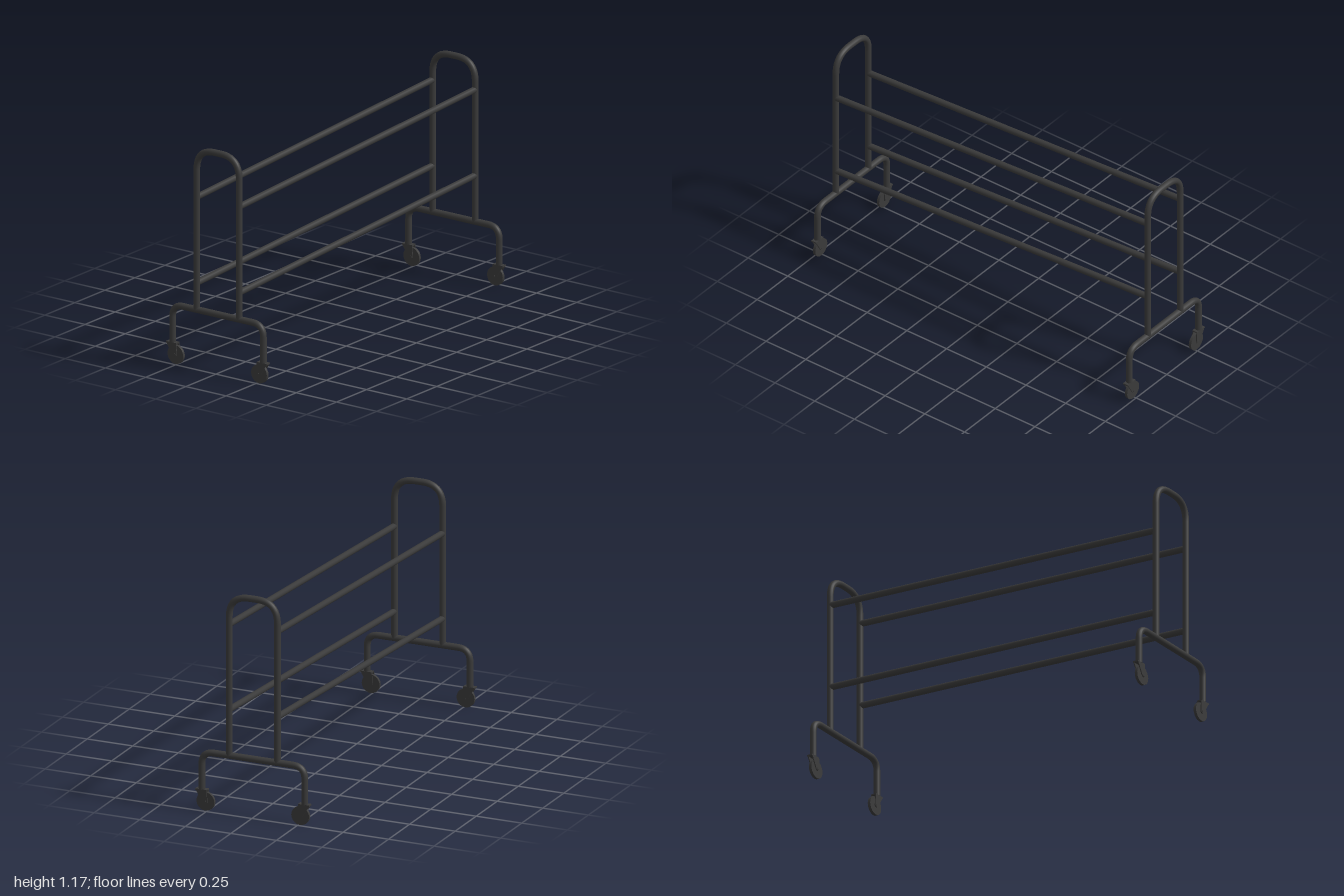
import * as THREE from 'three';

const R = 0.017;    // tube radius
const END_X = 0.982; // x of the two end frames
const RAIL_Z = 0.132;

const steel = new THREE.MeshStandardMaterial({ color: 0x3a3a3a });

function add(parent, name, geometry) {
  const mesh = new THREE.Mesh(geometry, steel);
  mesh.name = name;
  parent.add(mesh);
  return mesh;
}

// Upside-down U of bent tube in the yz plane
function bentTube(halfWidth, bottom, top, bend) {
  const v = (z, y) => new THREE.Vector3(0, y, z);
  const path = new THREE.CurvePath();
  path.add(new THREE.LineCurve3(v(halfWidth, bottom), v(halfWidth, top - bend)));
  path.add(new THREE.QuadraticBezierCurve3(v(halfWidth, top - bend), v(halfWidth, top), v(halfWidth - bend, top)));
  path.add(new THREE.LineCurve3(v(halfWidth - bend, top), v(bend - halfWidth, top)));
  path.add(new THREE.QuadraticBezierCurve3(v(bend - halfWidth, top), v(-halfWidth, top), v(-halfWidth, top - bend)));
  path.add(new THREE.LineCurve3(v(-halfWidth, top - bend), v(-halfWidth, bottom)));
  return new THREE.TubeGeometry(path, 120, R, 16, false);
}

// Caster: wheel held between two tapered fork plates, trailing inwards
function caster() {
  const group = new THREE.Group();
  group.name = 'caster';

  const wheel = add(group, 'wheel', new THREE.CylinderGeometry(0.049, 0.049, 0.015, 20));
  wheel.rotation.z = Math.PI / 2;
  wheel.position.set(0, 0.05, 0.26);

  const axle = add(group, 'axle', new THREE.CylinderGeometry(0.007, 0.007, 0.034, 10));
  axle.rotation.z = Math.PI / 2;
  axle.position.set(0, 0.05, 0.26);

  // Plate outline drawn as (-z, y), then turned into the yz plane
  const plate = new THREE.Shape();
  plate.moveTo(-0.313, 0.113);
  plate.lineTo(-0.274, 0.046);
  plate.quadraticCurveTo(-0.26, 0.032, -0.247, 0.046);
  plate.lineTo(-0.251, 0.113);
  for (const x of [-0.015, 0.010]) {
    const geometry = new THREE.ExtrudeGeometry(plate, { depth: 0.005, bevelEnabled: false, curveSegments: 6 });
    geometry.rotateY(Math.PI / 2);
    add(group, 'forkPlate', geometry).position.x = x;
  }

  add(group, 'forkTop', new THREE.BoxGeometry(0.03, 0.007, 0.062)).position.set(0, 0.11, 0.282);
  add(group, 'swivelCollar', new THREE.CylinderGeometry(R, R, 0.014, 16)).position.set(0, 0.118, 0.282);
  return group;
}

export function createModel() {
  const model = new THREE.Group();
  model.name = 'rollingRack';

  // End frames with hoop, base and casters
  for (const side of [-1, 1]) {
    const frame = new THREE.Group();
    frame.name = side > 0 ? 'leftEndFrame' : 'rightEndFrame';
    frame.position.x = side * END_X;
    add(frame, 'uprightHoop', bentTube(RAIL_Z, 0.31, 1.153, 0.11));
    add(frame, 'baseTube', bentTube(0.282, 0.115, 0.309, 0.065));
    const front = caster();
    const back = caster();
    back.rotation.y = Math.PI;
    frame.add(front, back);
    model.add(frame);
  }

  // Sloping rails, rising towards +x
  for (const z of [-RAIL_Z, RAIL_Z]) {
    for (const [name, y] of [['lowerRail', 0.5], ['upperRail', 0.95]]) {
      const from = new THREE.Vector3(-END_X, y - 0.051, z);
      const to = new THREE.Vector3(END_X, y + 0.051, z);
      const rail = new THREE.TubeGeometry(new THREE.LineCurve3(from, to), 1, R * 0.97, 16, false);
      add(model, name, rail);
    }
  }
  return model;
}
